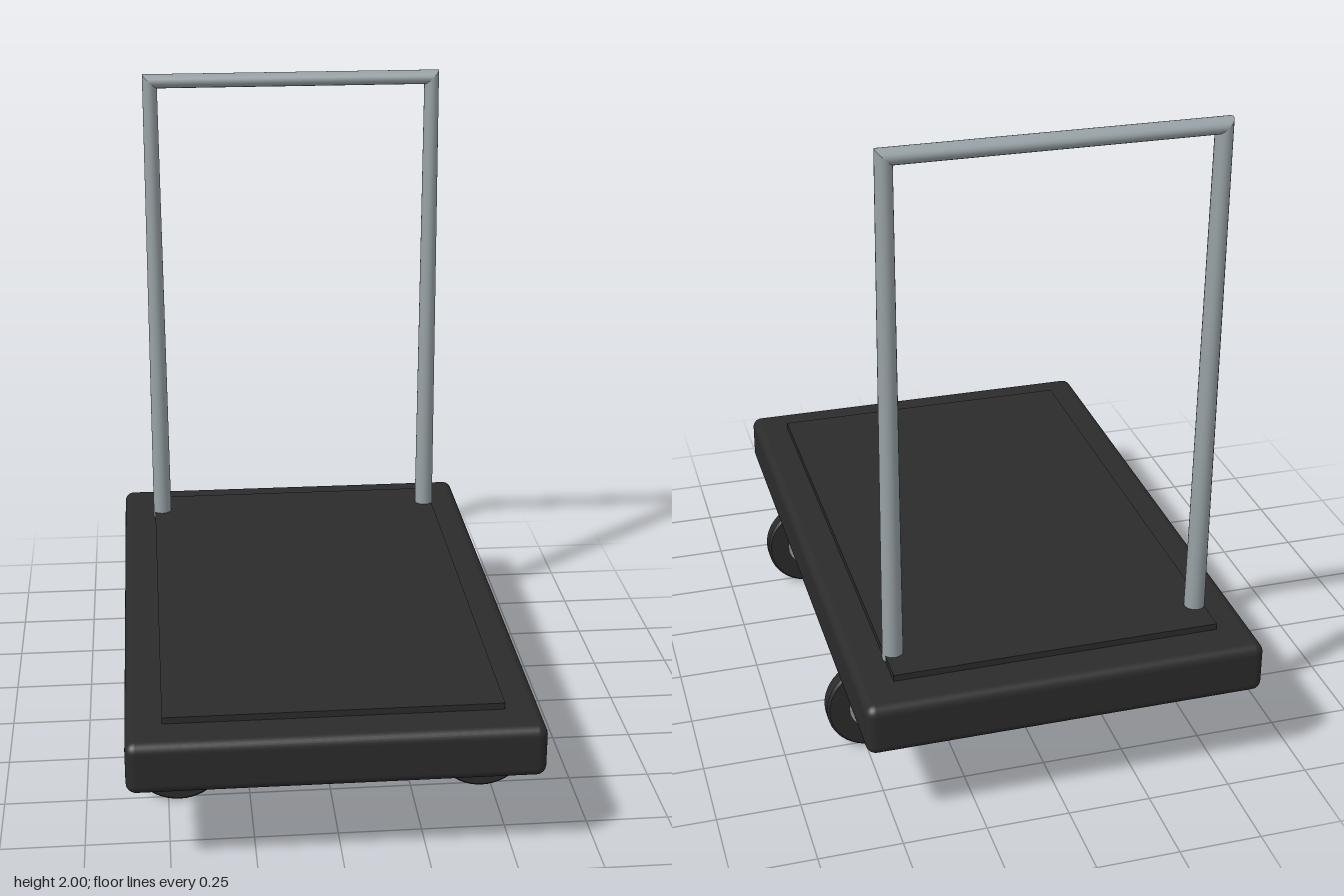
import * as THREE from 'three';
import { RoundedBoxGeometry } from 'three/addons/geometries/RoundedBoxGeometry.js';

const dark = new THREE.MeshStandardMaterial({ color: 0x2b2b2b });
dark.name = 'dark rubber';
const metal = new THREE.MeshStandardMaterial({ color: 0x97a1a5 });
metal.name = 'grey metal';

function add(parent, name, geometry, material, x, y, z) {
  const mesh = new THREE.Mesh(geometry, material);
  mesh.name = name;
  mesh.position.set(x, y, z);
  parent.add(mesh);
  return mesh;
}

// Tube lofted between two oval rings: each ring has a centre, an in-plane half axis (ax, ay) and a z radius
function loft(a, b, sides = 24) {
  const pos = [], index = [];
  for (const r of [a, b]) {
    for (let i = 0; i <= sides; i++) {
      const t = (i / sides) * Math.PI * 2, c = Math.cos(t);
      pos.push(r.x + r.ax * c, r.y + r.ay * c, r.z + r.rz * Math.sin(t));
    }
  }
  const n = sides + 1;
  for (let i = 0; i < sides; i++) index.push(i, i + n, i + 1, i + 1, i + n, i + n + 1);
  const g = new THREE.BufferGeometry();
  g.setAttribute('position', new THREE.Float32BufferAttribute(pos, 3));
  g.setIndex(index);
  g.computeVertexNormals();
  return g;
}

// Tyre with softened shoulders, flush hub discs and a fork; axle runs along z
function createWheel() {
  const wheel = new THREE.Group();
  const R = 0.146, h = 0.027, e = 0.007;
  const profile = [[0, -h], [R - e, -h], [R - e, -h], [R, -h + e], [R, -h + e],
    [R, h - e], [R, h - e], [R - e, h], [R - e, h], [0, h]].map(p => new THREE.Vector2(...p));
  add(wheel, 'tyre', new THREE.LatheGeometry(profile, 48).rotateX(Math.PI / 2), dark, 0, 0, 0);
  add(wheel, 'hub', new THREE.CylinderGeometry(0.077, 0.077, 0.06, 40).rotateX(Math.PI / 2), metal, 0, 0, 0);
  add(wheel, 'fork', new THREE.BoxGeometry(0.047, 0.098, 0.08), dark, -0.021, 0.048, 0);
  return wheel;
}

export function createModel() {
  const model = new THREE.Group();
  model.name = 'platformTrolley';
  const cx = -0.019;

  // Deck and its raised mat
  add(model, 'deck', new RoundedBoxGeometry(1.204, 0.16, 1.876, 4, 0.03), dark, cx, 0.35, 0);
  add(model, 'deckMat', new THREE.BoxGeometry(0.99, 0.022, 1.63), dark, cx, 0.439, 0);

  // Push handle: two slightly leaning posts mitred into a crossbar
  const handle = new THREE.Group();
  handle.name = 'handle';
  model.add(handle);
  const foot = s => ({ x: cx + s * 0.469, y: 0.42, z: -0.695, ax: 0.031, ay: 0, rz: 0.032 });
  const corner = s => ({ x: cx + s * 0.47, y: 1.977, z: -0.717, ax: 0.024, ay: s * 0.023, rz: 0.033 });
  const left = corner(1), right = corner(-1);
  add(handle, 'leftPost', loft(foot(1), left), metal, 0, 0, 0);
  add(handle, 'rightPost', loft(foot(-1), right), metal, 0, 0, 0);
  // Both bar rings start at the top outer edge
  add(handle, 'crossbar', loft(left, { ...right, ax: -right.ax, ay: -right.ay }), metal, 0, 0, 0);
  metal.side = THREE.DoubleSide;

  // Four wheels
  for (const x of [-0.466, 0.471]) {
    for (const z of [-0.495, 0.495]) {
      const wheel = createWheel();
      wheel.name = (z > 0 ? 'front' : 'back') + (x > 0 ? 'Left' : 'Right') + 'Wheel';
      wheel.position.set(x, 0.146, z);
      model.add(wheel);
    }
  }
  return model;
}
